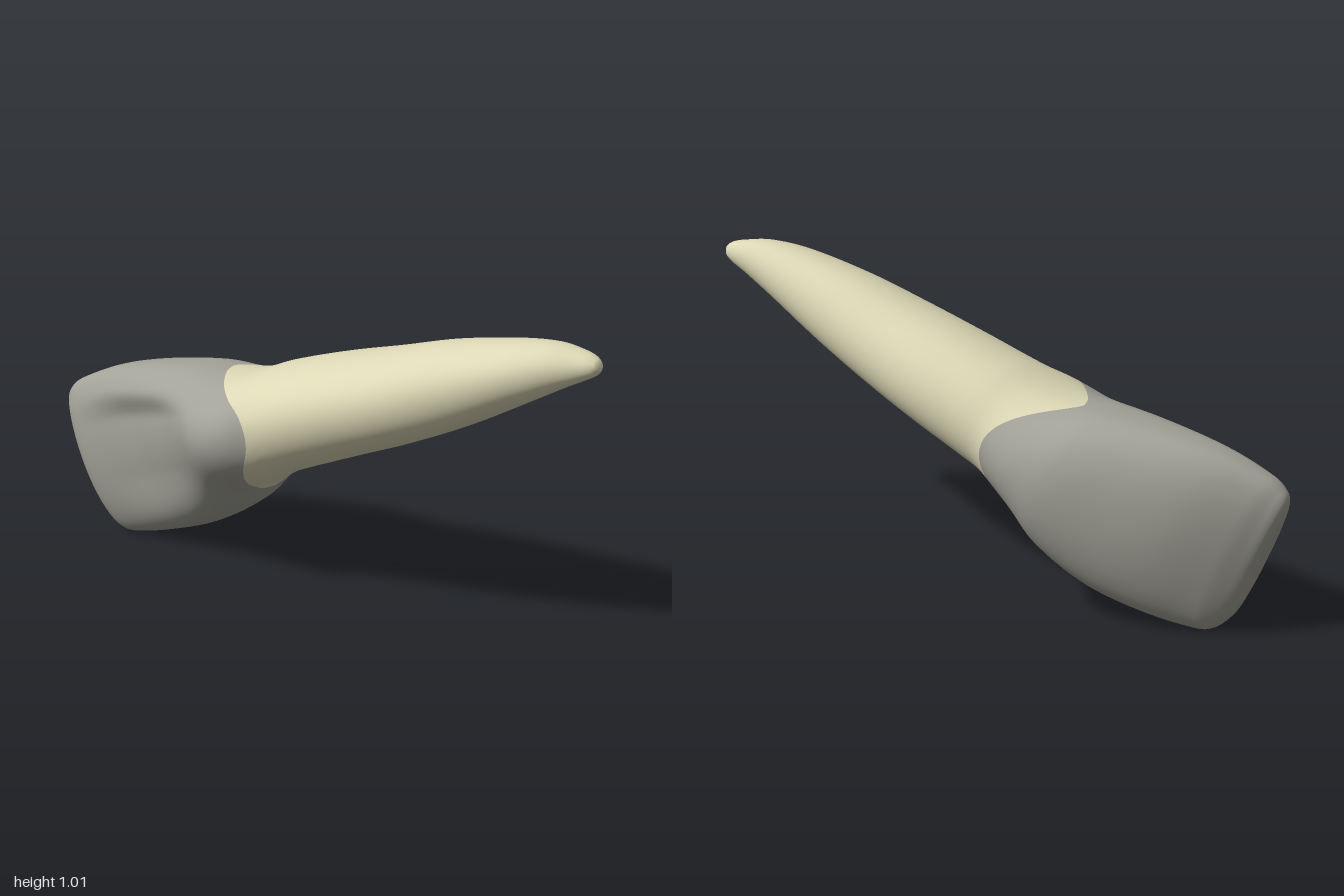
import * as THREE from 'three';

// Stations along the long axis: u, lower v, upper v, back z, front z
const STATIONS = [
  [-0.785, 0.42, 0.74, 0.095, 0.15],
  [-0.775, 0.36, 0.79, 0.075, 0.18],
  [-0.745, 0.295, 0.818, 0.045, 0.2],
  [-0.7, 0.27, 0.835, 0.005, 0.207],
  [-0.55, 0.252, 0.848, -0.1, 0.203],
  [-0.38, 0.254, 0.83, -0.183, 0.205],
  [-0.2, 0.297, 0.79, -0.25, 0.222],
  [-0.08, 0.352, 0.75, -0.262, 0.252],
  [0, 0.372, 0.737, -0.255, 0.262],
  [0.08, 0.386, 0.735, -0.243, 0.245],
  [0.15, 0.392, 0.739, -0.247, 0.205],
  [0.37, 0.405, 0.731, -0.263, 0.158],
  [0.59, 0.417, 0.715, -0.262, 0.115],
  [0.81, 0.439, 0.7, -0.257, 0.055],
  [1.04, 0.477, 0.665, -0.25, -0.02],
  [1.16, 0.498, 0.633, -0.245, -0.085],
  [1.23, 0.508, 0.596, -0.238, -0.138],
  [1.263, 0.516, 0.573, -0.228, -0.163],
  [1.277, 0.528, 0.556, -0.215, -0.18],
];
const U0 = STATIONS[0][0], U1 = STATIONS[STATIONS.length - 1][0];
const TILT = THREE.MathUtils.degToRad(21);
const SIDES = 96, CROWN_ROWS = 60, ROOT_ROWS = 60;
const { lerp, smoothstep } = THREE.MathUtils;

// Smooth (Hermite) interpolation of one station column
function sample(u, col) {
  const S = STATIONS, last = S.length - 1;
  let i = 0;
  while (i < last - 1 && u > S[i + 1][0]) i++;
  const slope = (k) => {
    const a = S[Math.max(k - 1, 0)], b = S[Math.min(k + 1, last)];
    return (b[col] - a[col]) / (b[0] - a[0]);
  };
  const h = S[i + 1][0] - S[i][0], t = (u - S[i][0]) / h, t2 = t * t, t3 = t2 * t;
  return (2 * t3 - 3 * t2 + 1) * S[i][col] + (t3 - 2 * t2 + t) * h * slope(i)
    + (3 * t2 - 2 * t3) * S[i + 1][col] + (t3 - t2) * h * slope(i + 1);
}

// From axis space to the tilted model space
function place(u, v, z) {
  const c = Math.cos(TILT), s = Math.sin(TILT);
  return [c * u - s * v, s * u + c * v, z];
}

// Point on the tooth surface at axis position u and angle a
function surface(u, a) {
  const lo = sample(u, 1), hi = sample(u, 2), zb = sample(u, 3), zf = sample(u, 4);
  const w = Math.cos(a), s = Math.sin(a);
  const crown = 1 - smoothstep(u, -0.3, 0.15);
  const v = (lo + hi) / 2 + w * (hi - lo) / 2;
  const mid = lerp(zb, zf, 0.44 + 0.13 * (1 - smoothstep(u, -0.7, -0.05)));
  // the root is fuller low at the front, the crown high at the front
  const upper = smoothstep(w, -0.8, 0.8);
  const frontPower = lerp(lerp(0.75, 1.05, upper), lerp(0.8, 0.7, upper), crown);
  let z = s > 0
    ? mid + (zf - mid) * Math.pow(s, frontPower)
    : mid - (mid - zb) * Math.pow(-s, 0.9);
  // hollow on the inner face of the crown, steep above and shallow below
  if (s > 0) {
    const wall = w > 0 ? smoothstep(w, 0.4, 0.75) : smoothstep(-w, 0.2, 1);
    z -= 0.045 * smoothstep(u, -0.75, -0.45) * (1 - smoothstep(u, -0.36, -0.08)) * (1 - wall);
  }
  // the lower side of the crown curls backwards
  const d = v - 0.54;
  z += (0.1 * d - 0.2 * d * d) * (1 - smoothstep(u, -0.4, 0.25));
  return place(u, v, z);
}

// Scalloped line where crown meets root
function neckLine(a) {
  const s = Math.sin(a);
  return -0.13 + (s > 0 ? 0.27 : 0.19) * Math.pow(s * s + 0.01, 0.52);
}

export function createModel() {
  const crownMat = new THREE.MeshStandardMaterial({ color: 0xa3a298 });
  crownMat.name = 'enamelGrey';
  const rootMat = new THREE.MeshStandardMaterial({ color: 0xdcd7b5 });
  rootMat.name = 'rootCream';

  // Rings of points, all meeting at the neck line
  const pos = [];
  const rows = CROWN_ROWS + ROOT_ROWS;
  for (let i = 0; i <= rows; i++) {
    for (let j = 0; j < SIDES; j++) {
      const a = (j / SIDES) * Math.PI * 2, neck = neckLine(a);
      const u = i <= CROWN_ROWS
        ? lerp(U0, neck, Math.pow(i / CROWN_ROWS, 1.7))
        : lerp(U1, neck, Math.pow((rows - i) / ROOT_ROWS, 1.5));
      pos.push(...surface(u, a));
    }
  }
  const edgeCentre = pos.length / 3;
  pos.push(...place(U0 - 0.004, 0.58, 0.125));
  const tipCentre = edgeCentre + 1;
  pos.push(...place(U1 + 0.003, 0.542, -0.197));

  // Faces, divided into crown and root
  const crownIdx = [], rootIdx = [];
  for (let j = 0; j < SIDES; j++) {
    const k = (j + 1) % SIDES;
    crownIdx.push(edgeCentre, k, j);
    rootIdx.push(tipCentre, rows * SIDES + j, rows * SIDES + k);
    for (let i = 0; i < rows; i++) {
      const a = i * SIDES + j, b = i * SIDES + k;
      (i < CROWN_ROWS ? crownIdx : rootIdx).push(a, b, a + SIDES, b, b + SIDES, a + SIDES);
    }
  }

  // Normals are taken over the whole tooth so the join stays smooth
  const whole = new THREE.BufferGeometry();
  whole.setAttribute('position', new THREE.Float32BufferAttribute(pos, 3));
  whole.setIndex([...crownIdx, ...rootIdx]);
  whole.computeVertexNormals();

  const group = new THREE.Group();
  group.name = 'tooth';
  for (const [name, index, mat] of [['crown', crownIdx, crownMat], ['root', rootIdx, rootMat]]) {
    const geo = whole.clone();
    geo.setIndex(index);
    const mesh = new THREE.Mesh(geo, mat);
    mesh.name = name;
    group.add(mesh);
  }
  return group;
}
